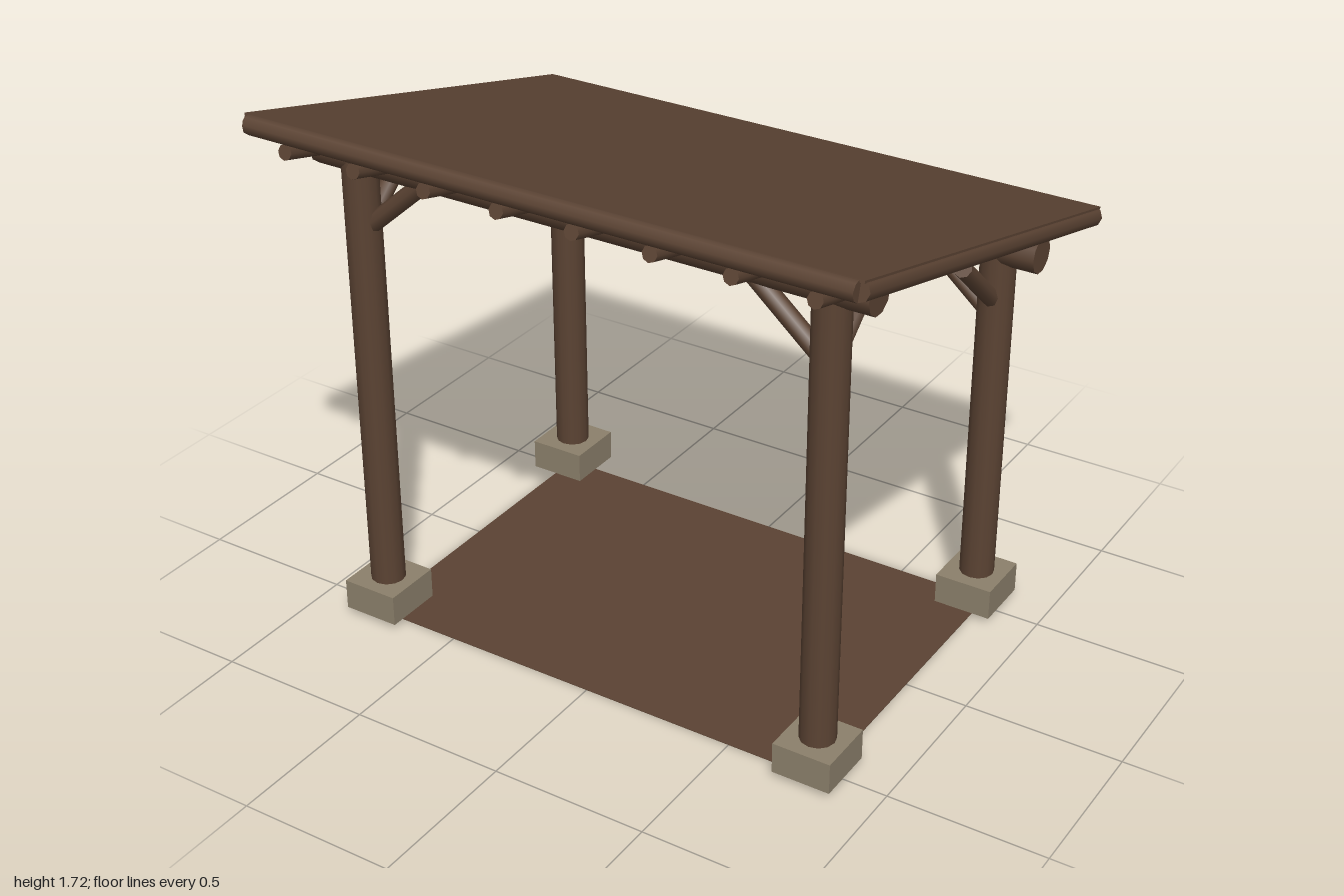
import * as THREE from 'three';

export function createModel() {
  const model = new THREE.Group();
  model.name = 'logShelter';

  const wood = new THREE.MeshStandardMaterial({ color: 0x5b4333 });
  wood.name = 'brown wood';
  const stone = new THREE.MeshStandardMaterial({ color: 0x8c806b });
  stone.name = 'footing stone';

  const UP = new THREE.Vector3(0, 1, 0);

  // Round log running between two points
  function log(parent, name, from, to, radius, sides = 10) {
    const a = new THREE.Vector3(...from);
    const b = new THREE.Vector3(...to);
    const dir = b.clone().sub(a);
    const mesh = new THREE.Mesh(new THREE.CylinderGeometry(radius, radius, dir.length(), sides), wood);
    mesh.position.copy(a).add(b).multiplyScalar(0.5);
    mesh.quaternion.setFromUnitVectors(UP, dir.normalize());
    mesh.name = name;
    parent.add(mesh);
  }

  function box(parent, name, size, pos, material) {
    const mesh = new THREE.Mesh(new THREE.BoxGeometry(...size), material);
    mesh.position.set(...pos);
    mesh.name = name;
    parent.add(mesh);
  }

  // Floor sheet
  box(model, 'floor', [1.6, 0.002, 1.08], [0, 0.001, 0], wood);

  // Front and rear frames: footings, posts, beam and braces
  const frames = [
    { name: 'front', z: 0.505, beamY: 1.563, braceY: 1.32, inward: -1 },
    { name: 'rear', z: -0.515, beamY: 1.257, braceY: 1.015, inward: 1 },
  ];
  for (const { name, z, beamY, braceY, inward } of frames) {
    const frame = new THREE.Group();
    frame.name = name + 'Frame';
    model.add(frame);
    log(frame, 'beam', [-0.91, beamY, z], [0.91, beamY, z], 0.058);
    for (const side of [-1, 1]) {
      const x = side * 0.775;
      box(frame, 'footing', [0.187, 0.1, 0.193], [x, 0.07, z], stone);
      log(frame, 'post', [x, 0.11, z], [x, beamY, z], 0.055, 12);
      // Brace along the beam
      log(frame, 'beamBrace', [x, braceY, z], [side * 0.5, braceY + 0.24, z], 0.028, 8);
      // Brace toward the middle of the shelter
      const y = inward < 0 ? 1.315 : 1.065;
      log(frame, 'rafterBrace', [x, y, z], [x, y + 0.213, z + inward * 0.242], 0.028, 8);
    }
  }

  // Sloping roof, built flat and then tilted up at the front
  const roof = new THREE.Group();
  roof.name = 'roof';
  roof.position.y = 1.5;
  roof.rotation.x = -0.252;
  model.add(roof);
  box(roof, 'roofPanel', [1.97, 0.008, 1.53], [0, 0.027, 0], wood);
  for (const s of [-1, 1]) {
    log(roof, 'eaveLog', [-0.97, 0, s * 0.759], [0.97, 0, s * 0.759], 0.031, 8);
    log(roof, 'sideLog', [s * 0.969, 0, -0.755], [s * 0.969, 0, 0.755], 0.031, 8);
  }
  for (let i = 0; i < 8; i++) {
    const x = -0.849 + i * 0.2426;
    log(roof, 'rafter', [x, -0.056, -0.742], [x, -0.056, 0.742], 0.024, 8);
  }

  return model;
}
